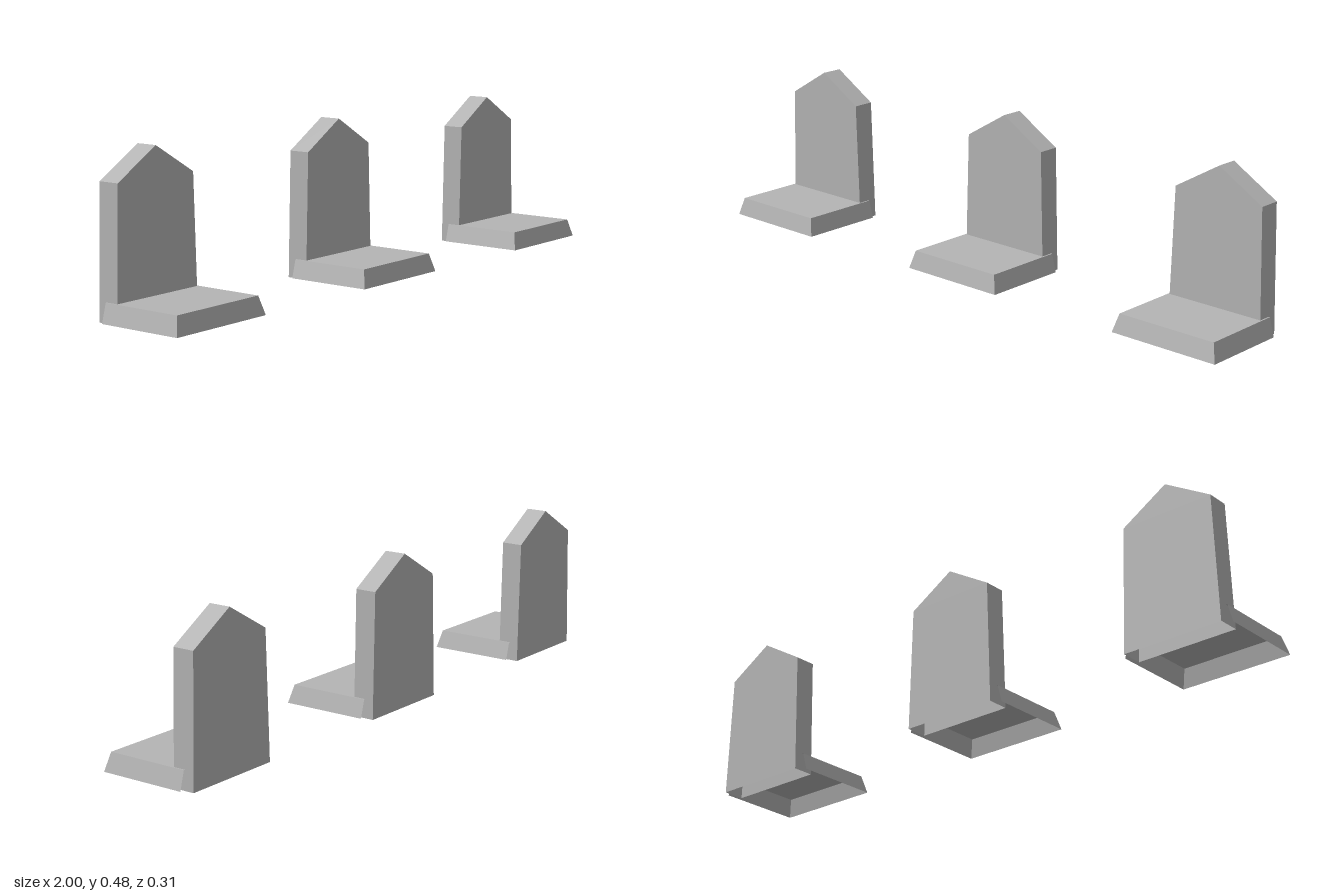
import * as THREE from 'three';

const stone = new THREE.MeshStandardMaterial({ color: 0xb4b4b4, side: THREE.DoubleSide });
stone.name = 'greyStone';

// Flat-shaded shell from polygons whose corners run counter-clockwise from outside
function shell(polygons) {
  const pos = [];
  for (const p of polygons)
    for (let i = 1; i < p.length - 1; i++) pos.push(...p[0], ...p[i], ...p[i + 1]);
  const g = new THREE.BufferGeometry();
  g.setAttribute('position', new THREE.Float32BufferAttribute(pos, 3));
  g.computeVertexNormals();
  return g;
}

// Upright slab: tapered gabled outline, open underneath
function slabGeometry() {
  const outline = [[-0.163, 0], [0.163, 0], [0.151, 0.394], [0, 0.484], [-0.151, 0.394]];
  const front = outline.map(([x, y]) => [x, y, -0.085]);
  const back = outline.map(([x, y]) => [x, y, -0.155]);
  const polygons = [front, [...back].reverse()];
  for (let i = 1; i < outline.length; i++) {
    const j = (i + 1) % outline.length;
    polygons.push([front[i], back[i], back[j], front[j]]);
  }
  return shell(polygons);
}

// Low plinth: sloped front and sides, open underneath and behind
function plinthGeometry() {
  const ring = (w, y, zFront) => [[-w, y, -0.125], [-w, y, zFront], [w, y, zFront], [w, y, -0.125]];
  const low = ring(0.182, 0.003, 0.156);
  const top = ring(0.166, 0.06, 0.142);
  const polygons = [top];
  for (let i = 0; i < 3; i++) polygons.push([low[i], low[i + 1], top[i + 1], top[i]]);
  return shell(polygons);
}

export function createModel() {
  const model = new THREE.Group();
  model.name = 'gravestones';
  const slab = slabGeometry();
  const plinth = plinthGeometry();

  // Three equal gravestones in a row
  ['right', 'middle', 'left'].forEach((side, i) => {
    const grave = new THREE.Group();
    grave.name = side + 'Gravestone';
    grave.position.x = (i - 1) * 0.818;
    for (const [name, geometry] of [['slab', slab], ['plinth', plinth]]) {
      const mesh = new THREE.Mesh(geometry, stone);
      mesh.name = name;
      grave.add(mesh);
    }
    model.add(grave);
  });
  return model;
}
